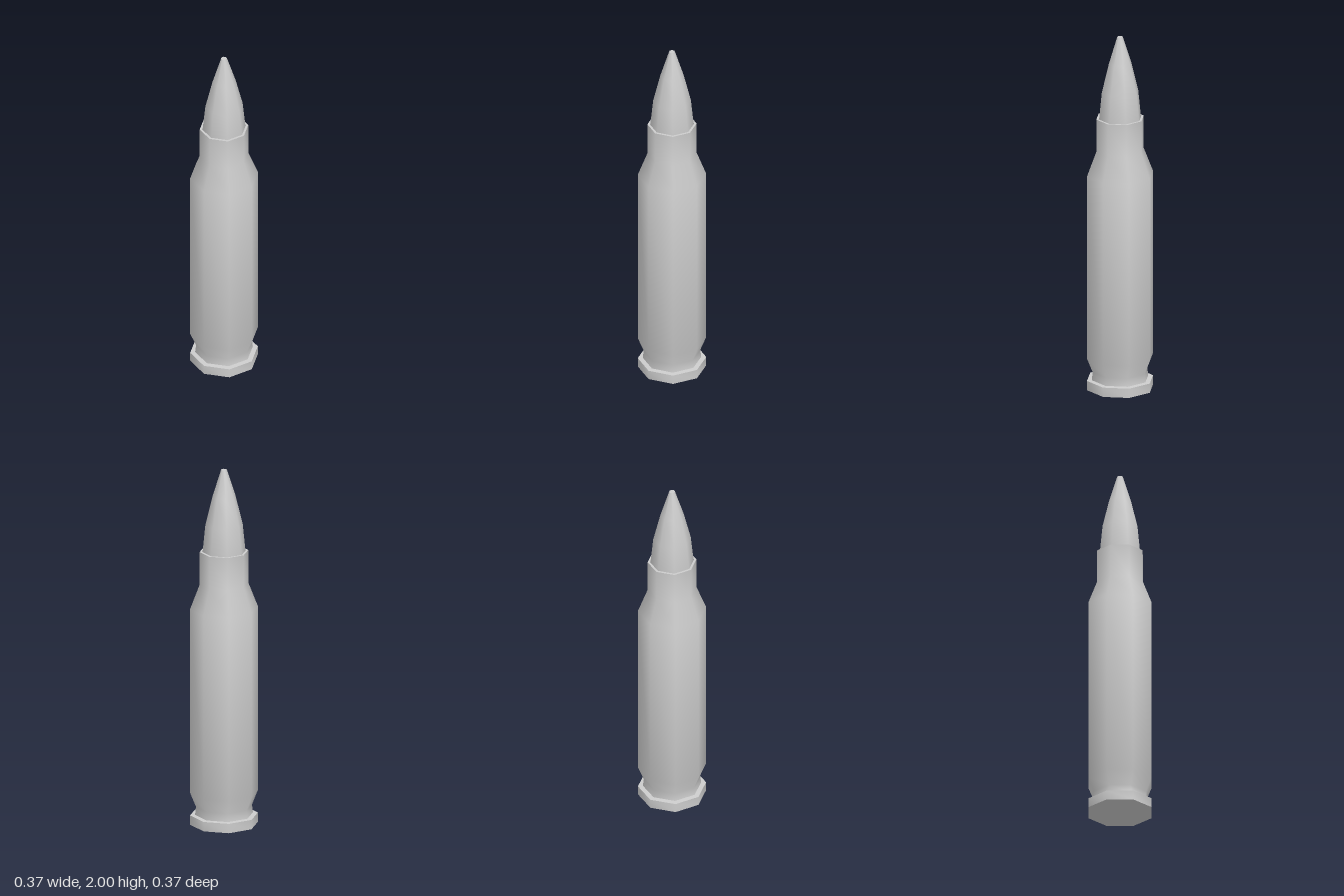
import * as THREE from 'three';
import { toCreasedNormals } from 'three/addons/utils/BufferGeometryUtils.js';

const SIDES = 8;

// Turns a bottom-to-top [radius, height] profile into an eight-sided solid
function turned(name, profile, material) {
  const points = profile.map(([r, y]) => new THREE.Vector2(r, y));
  const geometry = toCreasedNormals(new THREE.LatheGeometry(points, SIDES), Math.PI / 3);
  const mesh = new THREE.Mesh(geometry, material);
  mesh.name = name;
  return mesh;
}

export function createModel() {
  const group = new THREE.Group();
  group.name = 'cartridge';
  const material = new THREE.MeshStandardMaterial({ color: 0xcccccc });

  // Case: base rim, extractor groove, body, shoulder, neck and open mouth
  group.add(turned('case', [
    [0, 0], [0.185, 0], [0.185, 0.053],
    [0.158, 0.055], [0.153, 0.1], [0.185, 0.18],
    [0.185, 1.22], [0.133, 1.355], [0.133, 1.54],
    [0.12, 1.54], [0.117, 1.48],
  ], material));

  // Bullet: seated in the neck, tapering in a curve to a small flat tip
  group.add(turned('bullet', [
    [0, 1.4], [0.117, 1.4], [0.117, 1.54], [0.102, 1.69],
    [0.063, 1.85], [0.016, 2], [0, 2],
  ], material));

  return group;
}
